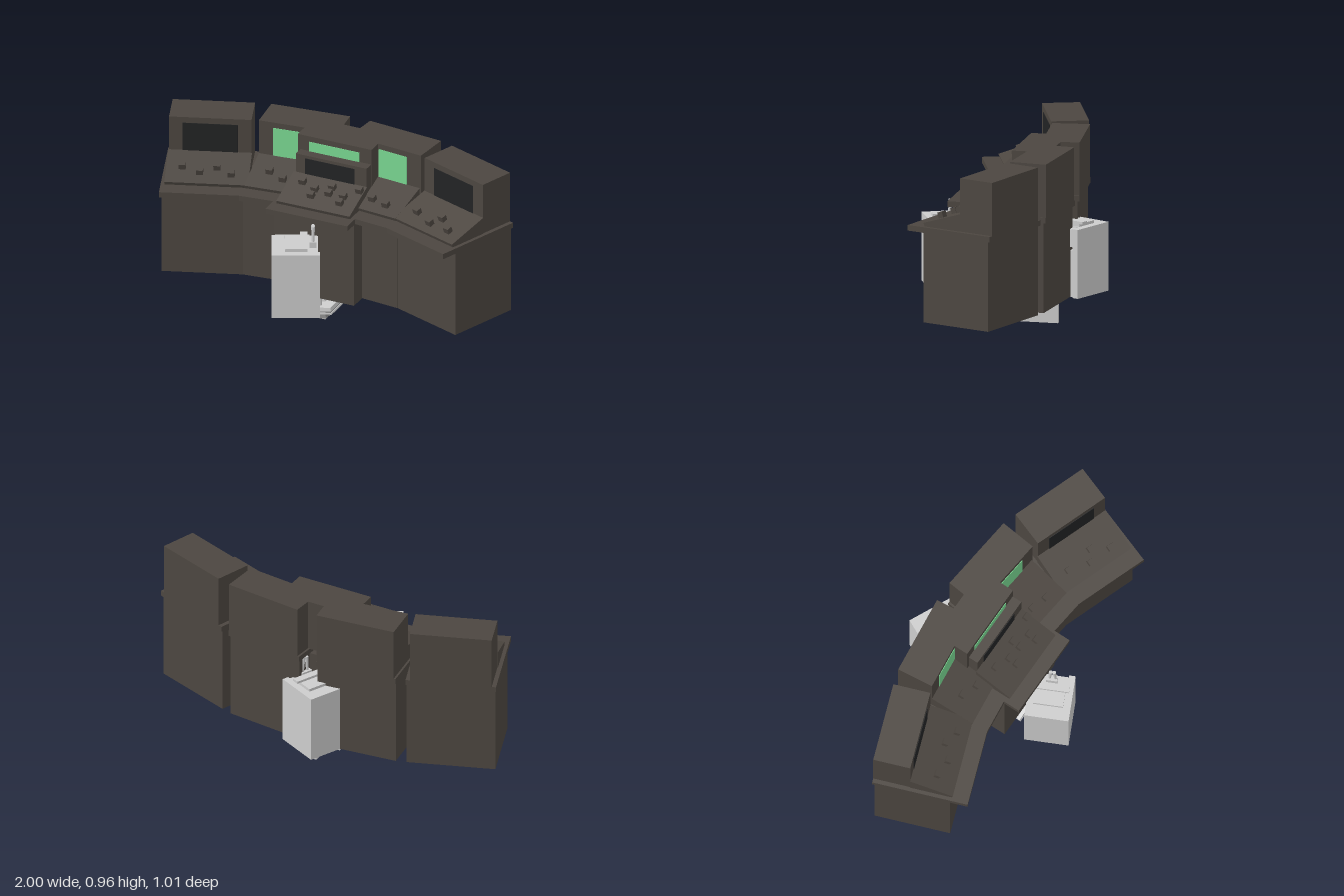
import * as THREE from 'three';

const material = (name, color) => {
  const m = new THREE.MeshStandardMaterial({ color });
  m.name = name;
  return m;
};

export function createModel() {
  const casing = material('dark casing', 0x4c4640);
  const black = material('dark screen', 0x222324);
  const green = material('green screen', 0x78d690);
  const grey = material('light grey metal', 0xcccccc);
  const shade = material('dark grey metal', 0x8c8c8c);
  const model = new THREE.Group();
  model.name = 'controlDesk';

  const add = (parent, name, geometry, mat) => {
    const mesh = new THREE.Mesh(geometry, mat);
    mesh.name = name;
    parent.add(mesh);
    return mesh;
  };
  // Box given by its lower and upper limits on each axis
  const box = (parent, name, mat, [x0, x1], [y0, y1], [z0, z1]) => {
    const mesh = add(parent, name, new THREE.BoxGeometry(x1 - x0, y1 - y0, z1 - z0), mat);
    mesh.position.set((x0 + x1) / 2, (y0 + y1) / 2, (z0 + z1) / 2);
    return mesh;
  };
  const group = (name, x, z, yaw) => {
    const g = new THREE.Group();
    g.name = name;
    g.position.set(x, 0, z);
    g.rotation.y = yaw;
    model.add(g);
    return g;
  };
  // Sloping control panel running from z0 (high) to z1 (low)
  const HIGH = 0.765, LOW = 0.69;
  const panel = (parent, w, z0, z1) => {
    const shape = new THREE.Shape([[z0, 0.665], [z1 - 0.01, 0.665], [z1, LOW], [z0, HIGH]]
      .map(([x, y]) => new THREE.Vector2(x, y)));
    const geo = new THREE.ExtrudeGeometry(shape, { depth: w, bevelEnabled: false });
    geo.rotateY(-Math.PI / 2).translate(w / 2, 0, 0);
    add(parent, 'controlPanel', geo, casing);
  };
  // Push buttons at plan positions, seated on the slope
  const buttons = (parent, list, z0, z1) => {
    const { x: px, z: pz } = parent.position, a = parent.rotation.y;
    for (const [x, z] of list) {
      const u = (x - px) * Math.cos(a) - (z - pz) * Math.sin(a);
      const v = (x - px) * Math.sin(a) + (z - pz) * Math.cos(a);
      const y = HIGH + (LOW - HIGH) * (v - z0) / (z1 - z0);
      const b = add(parent, 'button', new THREE.BoxGeometry(0.036, 0.044, 0.03), casing);
      b.position.set(u, y + 0.01, v);
      b.rotation.x = Math.atan2(HIGH - LOW, z1 - z0);
    }
  };

  // Outer wings and inner sections, mirrored about the centre
  const wingButtons = {
    '-1': [[-0.79, 0.14], [-0.69, 0.14], [-0.62, 0.075], [-0.53, 0.09]],
    '1': [[0.54, 0.07], [0.645, 0.14], [0.7, 0.1], [0.77, 0.18]],
  };
  const innerButtons = {
    '-1': [[-0.35, 0], [-0.26, 0.03]],
    '1': [[0.26, 0.03], [0.35, 0.055]],
  };
  for (const s of [-1, 1]) {
    const side = s > 0 ? 'left' : 'right';
    const wing = group(side + 'Wing', s * 0.775, -0.212, -s * 0.349);
    box(wing, 'cabinet', casing, [-0.235, 0.235], [0.16, 0.645], [0.012, 0.42]);
    box(wing, 'counter', casing, [-0.24, 0.24], [0.642, 0.672], [0, 0.515]);
    box(wing, 'screenHousing', casing, [-0.217, 0.217], [0.67, 0.958], [0, 0.2]);
    box(wing, 'screen', black, [-0.145, 0.145], [0.765, 0.925], [0.198, 0.203]);
    panel(wing, 0.44, 0.2, 0.43);
    buttons(wing, wingButtons[s], 0.2, 0.43);

    const inner = group(side + 'InnerSection', s * 0.275, -0.335, -s * 0.11);
    box(inner, 'cabinet', casing, [-0.222, 0.222], [0.16, 0.645], [0.012, 0.43]);
    box(inner, 'counter', casing, [-0.226, 0.226], [0.642, 0.672], [0, 0.525]);
    box(inner, 'screenHousing', casing, [-0.215, 0.222], [0.67, 0.958], [0, 0.2]);
    const screen = box(inner, 'screen', green, [-0.086, 0.086], [0.765, 0.927], [0.198, 0.203]);
    screen.position.x = s * 0.05;
    panel(inner, 0.43, 0.2, 0.44);
    buttons(inner, innerButtons[s], 0.2, 0.44);
  }

  // Centre station with a raised console
  const centre = group('centreStation', 0, 0, 0);
  box(centre, 'pedestal', casing, [-0.235, 0.23], [0.16, 0.645], [-0.26, 0.19]);
  box(centre, 'counter', casing, [-0.24, 0.235], [0.642, 0.672], [-0.2, 0.283]);
  box(centre, 'screenHousing', casing, [-0.215, 0.212], [0.67, 0.958], [-0.26, -0.06]);
  box(centre, 'upperScreen', green, [-0.148, 0.142], [0.8, 0.927], [-0.062, -0.057]);
  box(centre, 'lowerScreenHousing', casing, [-0.2, 0.21], [0.67, 0.872], [-0.06, -0.005]);
  box(centre, 'lowerScreen', black, [-0.145, 0.14], [0.765, 0.855], [-0.007, -0.002]);
  panel(centre, 0.425, -0.005, 0.21);
  buttons(centre, [[-0.13, 0.06], [-0.045, 0.09], [-0.045, 0.137], [0.04, 0.055], [0.04, 0.1],
    [0.125, 0.1], [0.125, 0.145], [0.19, 0.04]], -0.005, 0.21);

  // Grey equipment lockers in front and behind, mirrored in z
  for (const s of [-1, 1]) {
    const locker = group(s > 0 ? 'frontLocker' : 'backLocker', -0.1, s * 0.503, s * 0.447);
    const part = (name, mat, x, y, [a, b]) =>
      box(locker, name, mat, x, y, s > 0 ? [-b, -a] : [a, b]);
    part('body', grey, [0, 0.2], [0.16, 0.53], [0, 0.235]);
    part('frontEdge', grey, [0.2, 0.254], [0.16, 0.53], [0, 0.035]);
    part('doorPanel', grey, [0.2, 0.238], [0.16, 0.41], [0.035, 0.235]);
    part('upperPanel', grey, [0.2, 0.245], [0.43, 0.525], [0.035, 0.235]);
    part('lid', grey, [0.07, 0.19], [0.53, 0.545], [0.04, 0.2]);
    part('lidRail', grey, [0.15, 0.19], [0.545, 0.558], [0.02, 0.22]);
    part('leverBase', grey, [0.2, 0.235], [0.525, 0.56], [0.09, 0.15]);
    for (const d of [0.105, 0.13]) {
      const lever = add(locker, 'lever', new THREE.CylinderGeometry(0.01, 0.007, 0.09, 8), grey);
      lever.position.set(0.218, 0.598, -s * d);
      lever.rotation.x = s * (d - 0.118) * 6;
    }
  }

  // Support fin and tilted tray under the desk
  const under = group('undercarriage', 0, 0, 0);
  box(under, 'fin', grey, [0, 0.028], [0, 0.2], [-0.262, 0.115]);
  box(under, 'finInset', grey, [0.028, 0.036], [0.016, 0.2], [-0.1, 0.1]);
  box(under, 'finBracket', grey, [0.02, 0.044], [0.135, 0.2], [-0.23, -0.15]);
  const tray = new THREE.Group();
  tray.name = 'tray';
  tray.position.set(0, 0.082, 0);
  tray.rotation.z = 0.21;
  under.add(tray);
  box(tray, 'trayTop', grey, [-0.1, 0.1], [-0.004, 0.018], [-0.19, 0.195]);
  box(tray, 'trayBand', shade, [-0.094, 0.094], [-0.013, -0.004], [-0.185, 0.19]);
  box(tray, 'trayBase', grey, [-0.1, 0.1], [-0.022, -0.013], [-0.18, 0.195]);
  box(tray, 'trayMotor', shade, [-0.03, 0.06], [-0.045, -0.022], [0.12, 0.19]);
  for (let i = 0; i < 7; i++) {
    for (const x of [-0.06, 0.06]) {
      const stud = add(tray, 'stud', new THREE.CylinderGeometry(0.011, 0.007, 0.012, 8), grey);
      stud.position.set(x, -0.027, -0.16 + i * 0.043);
    }
  }
  for (let i = 0; i < 5; i++) {
    const pin = add(under, 'pin', new THREE.CylinderGeometry(0.009, 0.009, 0.02, 8), grey);
    pin.position.set(0.045, 0.152, -0.09 + i * 0.045);
  }
  const post = add(under, 'trayPost', new THREE.CylinderGeometry(0.009, 0.009, 0.09, 8), grey);
  post.position.set(0.02, 0.135, 0.16);

  return model;
}
